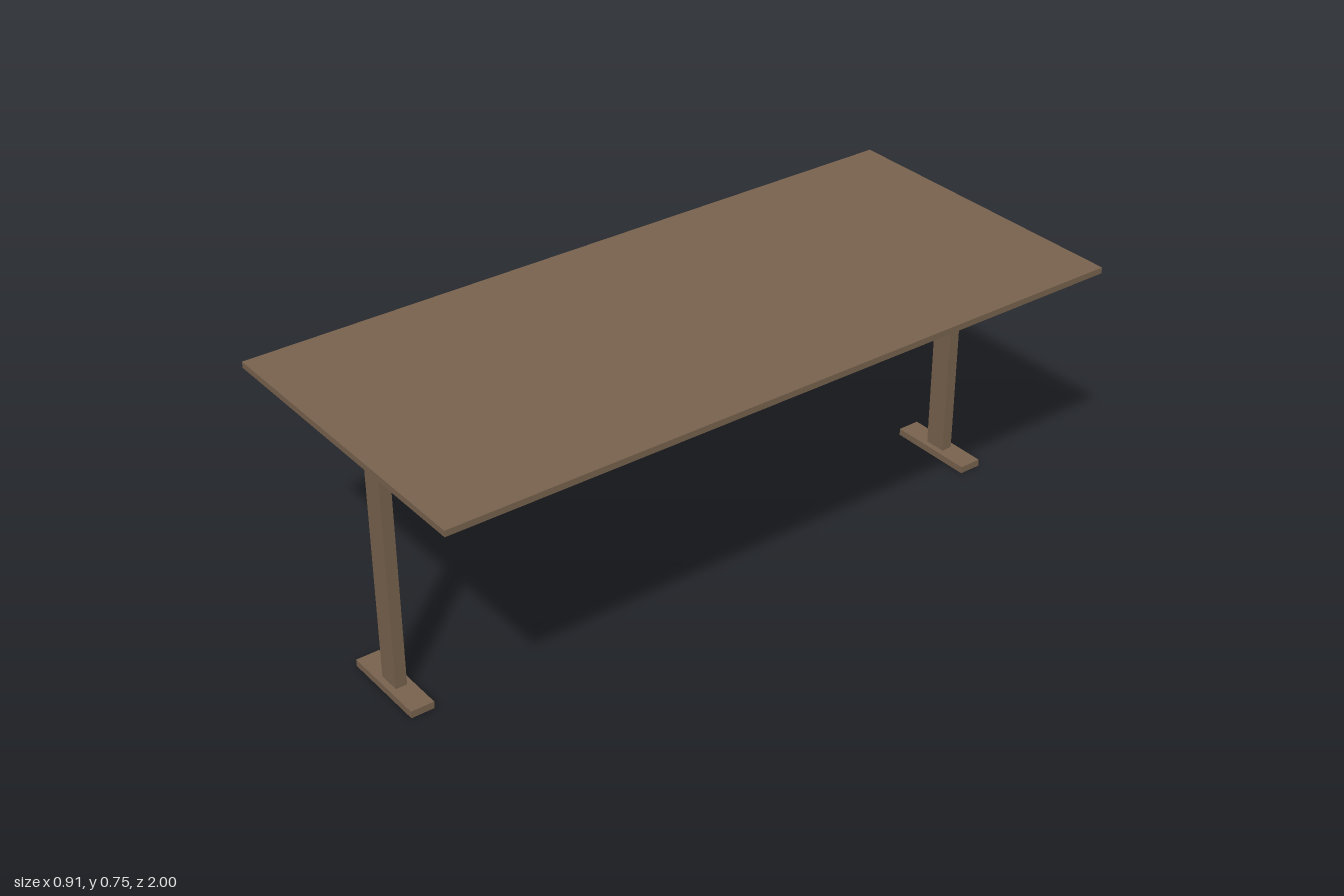
import * as THREE from 'three';

const wood = new THREE.MeshStandardMaterial({ color: 0x7a644f });

// Box spanning y0..y1, centred on x = 0 and on the given z
function slab(name, width, y0, y1, depth, z = 0) {
  const mesh = new THREE.Mesh(new THREE.BoxGeometry(width, y1 - y0, depth), wood);
  mesh.name = name;
  mesh.position.set(0, (y0 + y1) / 2, z);
  return mesh;
}

export function createModel() {
  const table = new THREE.Group();
  table.name = 'table';

  // Thin rectangular top
  table.add(slab('tableTop', 0.91, 0.731, 0.748, 2));

  // One flat post on a bar foot at each end
  for (const [end, side] of [['front', 1], ['back', -1]]) {
    const support = new THREE.Group();
    support.name = end + 'Support';
    support.position.z = side * 0.905;
    support.add(
      slab(end + 'Leg', 0.064, 0.02, 0.731, 0.032),
      slab(end + 'Foot', 0.26, 0, 0.02, 0.066),
    );
    table.add(support);
  }
  return table;
}
